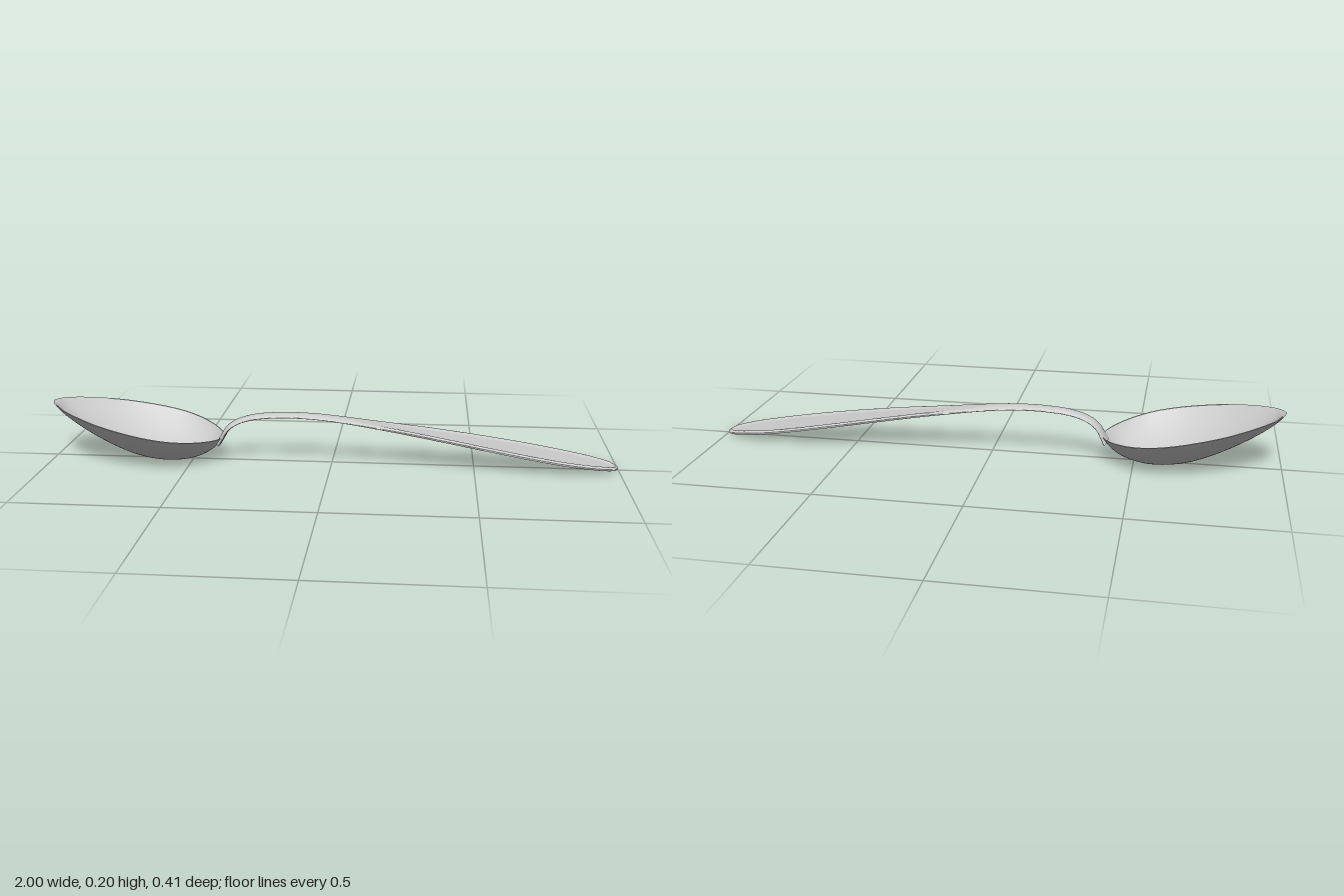
import * as THREE from 'three';
import { toCreasedNormals } from 'three/addons/utils/BufferGeometryUtils.js';

const { smoothstep } = THREE.MathUtils;

// Skin a row of closed cross-sections (ordered along +x) and cap both ends.
function loft(sections) {
  const n = sections[0].length;
  const pos = [];
  const index = [];
  sections.forEach(s => s.forEach(p => pos.push(p.x, p.y, p.z)));
  for (let i = 0; i < sections.length - 1; i++) {
    for (let j = 0; j < n; j++) {
      const k = (j + 1) % n;
      const a = i * n + j, b = i * n + k, c = b + n, d = a + n;
      index.push(a, b, c, a, c, d);
    }
  }
  [0, sections.length - 1].forEach(i => {
    const mid = new THREE.Vector3();
    sections[i].forEach(p => mid.addScaledVector(p, 1 / n));
    const m = pos.length / 3;
    pos.push(mid.x, mid.y, mid.z);
    for (let j = 0; j < n; j++) {
      const a = i * n + j, b = i * n + (j + 1) % n;
      if (i === 0) index.push(m, b, a);
      else index.push(m, a, b);
    }
  });
  const geo = new THREE.BufferGeometry();
  geo.setAttribute('position', new THREE.Float32BufferAttribute(pos, 3));
  geo.setIndex(index);
  return toCreasedNormals(geo, 0.8);
}

// Smooth curve through [x, y, half width] stations.
const stations = list => new THREE.CatmullRomCurve3(list.map(p => new THREE.Vector3(...p)));

// Bowl: parabolic sections hung from a sloping straight rim.
function bowlGeometry() {
  const outline = stations([
    [-1, 0.204, 0.003], [-0.99, 0.193, 0.034], [-0.96, 0.164, 0.075], [-0.9, 0.121, 0.123],
    [-0.8, 0.064, 0.175], [-0.7, 0.021, 0.2], [-0.63, 0.005, 0.205], [-0.56, 0.001, 0.195],
    [-0.5, 0.009, 0.166], [-0.45, 0.027, 0.124], [-0.415, 0.052, 0.08],
    [-0.397, 0.072, 0.045], [-0.389, 0.084, 0.014],
  ]);
  const wall = 0.009, steps = 90, half = 36;
  const sections = [];
  for (let i = 0; i <= steps; i++) {
    const { x, y, z: w } = outline.getPoint(i / steps);
    const rim = 0.205 - 0.195 * (x + 1);
    const depth = Math.max(rim - y, 0.0005);
    const innerW = Math.max(w - 0.007, w * 0.4);
    const innerD = Math.max(depth - wall, depth * 0.3);
    const loop = [];
    for (let j = 0; j <= half; j++) {
      const t = 1 - 2 * j / half;
      loop.push(new THREE.Vector3(x, rim - depth * (1 - t * t), w * t));
    }
    for (let j = 0; j <= half; j++) {
      const t = -1 + 2 * j / half;
      loop.push(new THREE.Vector3(x, rim - innerD * (1 - t * t), innerW * t));
    }
    sections.push(loop);
  }
  return loft(sections);
}

// Handle: arched neck widening to a flat blade with a beaded border.
function handleGeometry() {
  const path = stations([
    [-0.402, 0.066, 0.056], [-0.39, 0.086, 0.045], [-0.372, 0.115, 0.036], [-0.34, 0.14, 0.032],
    [-0.28, 0.16, 0.03], [-0.2, 0.169, 0.03], [-0.1, 0.17, 0.031], [0, 0.163, 0.034],
    [0.2, 0.136, 0.046], [0.4, 0.106, 0.067], [0.55, 0.082, 0.081], [0.7, 0.057, 0.088],
    [0.82, 0.037, 0.083], [0.91, 0.023, 0.067], [0.965, 0.014, 0.045],
    [0.99, 0.01, 0.023], [0.999, 0.008, 0.003],
  ]);
  const steps = 170, half = 40;
  const sections = [];
  for (let i = 0; i <= steps; i++) {
    const p = path.getPoint(i / steps);
    const tan = path.getTangent(i / steps).setZ(0).normalize();
    const normal = new THREE.Vector3(-tan.y, tan.x, 0);
    const w = p.z;
    const blade = smoothstep(p.x, -0.05, 0.35);
    const tip = 1 - smoothstep(p.x, 0.97, 1) * 0.5;
    const at = (u, h) => p.clone().setZ(w * u).addScaledVector(normal, h);
    const loop = [];
    // Underside, gently convex
    for (let j = 0; j <= half; j++) {
      const u = Math.cos(Math.PI * j / half);
      const edge = -0.003 * tip;
      loop.push(at(u, edge - (0.004 - 0.001 * blade) * tip * Math.sqrt(1 - u * u)));
    }
    // Upper side: crowned at the neck, bead and sunken panel on the blade
    for (let j = 0; j <= half; j++) {
      const u = -Math.cos(Math.PI * j / half);
      const d = Math.min(w * (1 - Math.abs(u)), 1 - p.x);
      const crown = -0.002 + 0.011 * Math.pow(1 - u * u, 0.8);
      const bead = 0.008 * smoothstep(d, -0.006, 0.009) - 0.005 * smoothstep(d, 0.011, 0.026);
      loop.push(at(u, THREE.MathUtils.lerp(crown, bead, blade) * tip));
    }
    sections.push(loop);
  }
  return loft(sections);
}

export function createModel() {
  const spoon = new THREE.Group();
  spoon.name = 'spoon';
  const metal = new THREE.MeshStandardMaterial({ color: 0xcccccc, side: THREE.DoubleSide });
  const parts = { bowl: bowlGeometry(), handle: handleGeometry() };
  for (const [name, geometry] of Object.entries(parts)) {
    const mesh = new THREE.Mesh(geometry, metal);
    mesh.name = name;
    spoon.add(mesh);
  }
  return spoon;
}
